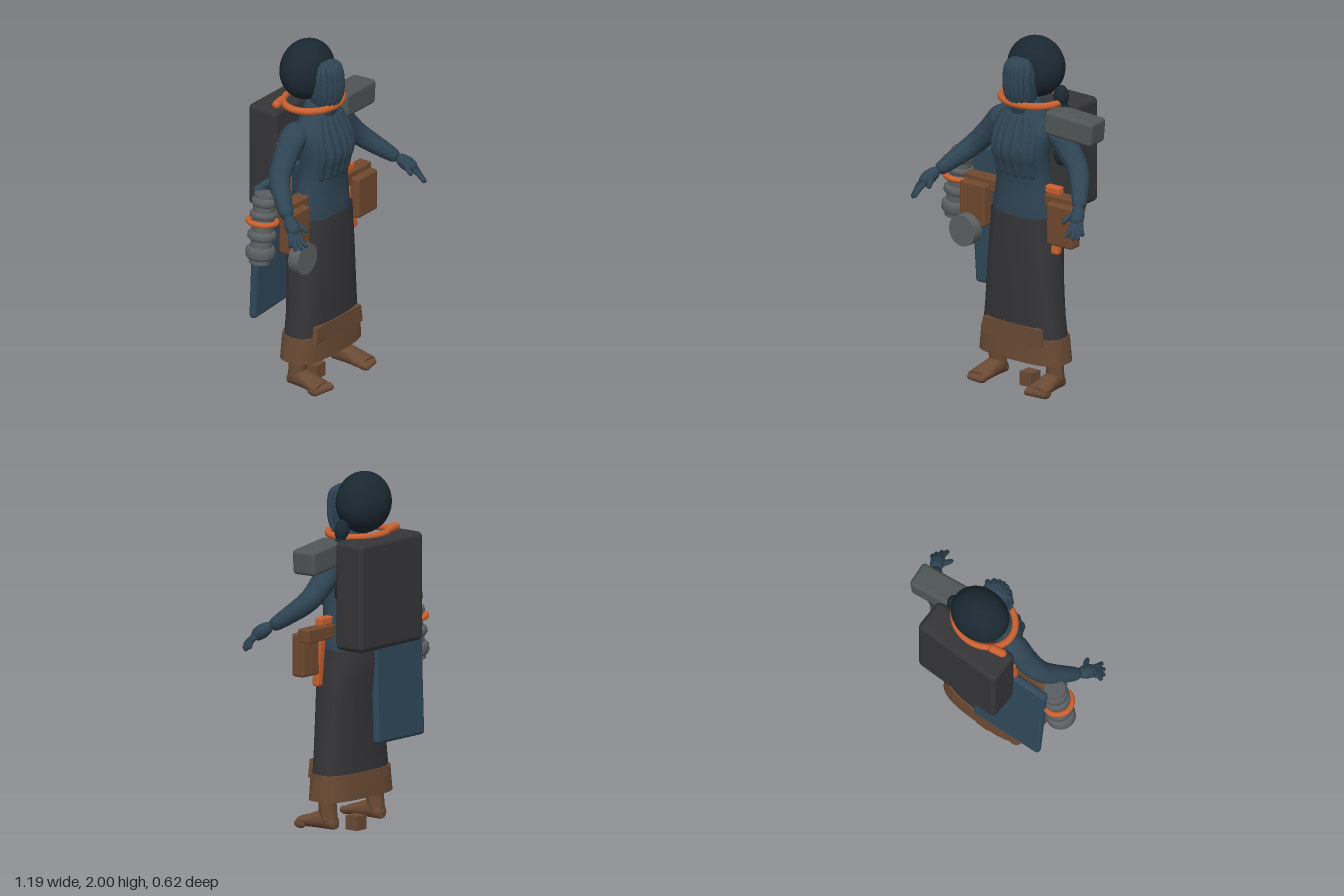
import * as THREE from 'three';
import { RoundedBoxGeometry } from 'three/addons/geometries/RoundedBoxGeometry.js';
import { toCreasedNormals } from 'three/addons/utils/BufferGeometryUtils.js';

const mat = (color) => new THREE.MeshStandardMaterial({ color, side: THREE.DoubleSide });
const M = {
  cloth: mat(0x2f4453), hair: mat(0x1b2831), dark: mat(0x353538), panel: mat(0x30495a),
  brown: mat(0x6a4a34), leather: mat(0x70492f), orange: mat(0xc9602f), grey: mat(0x505556), metal: mat(0x5c6062),
};
const V = (x, y, z) => new THREE.Vector3(x, y, z);

// Rings stacked along y; each section is [y, half width, front z, back z]
function loft(sections, power = 2, caps = true, n = 40) {
  const pos = [], idx = [];
  const bend = (v) => Math.sign(v) * Math.abs(v) ** (2 / power);
  for (const [y, rx, zf, zb] of sections) {
    for (let i = 0; i < n; i++) {
      const a = (i / n) * Math.PI * 2;
      pos.push(rx * bend(Math.cos(a)), y, (zf + zb) / 2 + ((zf - zb) / 2) * bend(Math.sin(a)));
    }
  }
  for (let s = 0; s < sections.length - 1; s++) {
    for (let i = 0; i < n; i++) {
      const a = s * n + i, a1 = s * n + (i + 1) % n;
      idx.push(a, a + n, a1, a + n, a1 + n, a1);
    }
  }
  if (caps) {
    const top = (sections.length - 1) * n;
    for (let i = 1; i < n - 1; i++) idx.push(0, i, i + 1, top, top + i + 1, top + i);
  }
  const g = new THREE.BufferGeometry();
  g.setAttribute('position', new THREE.Float32BufferAttribute(pos, 3));
  g.setIndex(idx);
  g.computeVertexNormals();
  return toCreasedNormals(g, 0.8);
}

// Tube along points with a varying radius and rounded ends
function limb(points, radii, seg = 28, sides = 14) {
  const curve = new THREE.CatmullRomCurve3(points);
  const g = new THREE.TubeGeometry(curve, seg, 1, sides);
  const p = g.attributes.position, nor = g.attributes.normal, len = curve.getLength();
  for (let i = 0; i <= seg; i++) {
    const u = i / seg, f = u * (radii.length - 1), k = Math.min(Math.floor(f), radii.length - 2);
    let r = THREE.MathUtils.lerp(radii[k], radii[k + 1], f - k);
    const d = Math.min(u, 1 - u) * len;
    if (d < r) r *= Math.sqrt(Math.max(0, 1 - (1 - d / r) ** 2));
    const c = curve.getPointAt(u);
    for (let j = 0; j <= sides; j++) {
      const q = i * (sides + 1) + j;
      p.setXYZ(q, c.x + nor.getX(q) * r, c.y + nor.getY(q) * r, c.z + nor.getZ(q) * r);
    }
  }
  g.computeVertexNormals();
  return g;
}

export function createModel() {
  const root = new THREE.Group();
  const add = (name, geo, m, pos = [0, 0, 0], rot = [0, 0, 0], parent = root) => {
    const mesh = new THREE.Mesh(geo, m);
    mesh.name = name;
    mesh.position.set(...pos);
    mesh.rotation.set(...rot);
    parent.add(mesh);
    return mesh;
  };
  const box = (name, size, r, m, pos, rot) => add(name, new RoundedBoxGeometry(...size, 3, r), m, pos, rot);

  // Torso
  const torso = [
    [0.95, 0.195, 0.11, -0.15], [1.03, 0.2, 0.115, -0.15], [1.1, 0.188, 0.112, -0.13], [1.2, 0.17, 0.108, -0.1],
    [1.28, 0.16, 0.118, -0.09], [1.34, 0.163, 0.138, -0.09], [1.39, 0.168, 0.15, -0.09], [1.45, 0.175, 0.138, -0.1],
    [1.52, 0.185, 0.108, -0.1], [1.57, 0.165, 0.082, -0.1], [1.61, 0.11, 0.065, -0.1], [1.67, 0.07, 0.05, -0.09],
  ];
  add('torso', loft(torso, 2.3), M.cloth);
  const frontZ = (x, y) => {
    let k = 0;
    while (k < torso.length - 2 && torso[k + 1][0] < y) k++;
    const t = (y - torso[k][0]) / (torso[k + 1][0] - torso[k][0]);
    const [rx, zf, zb] = [1, 2, 3].map((c) => THREE.MathUtils.lerp(torso[k][c], torso[k + 1][c], t));
    return (zf + zb) / 2 + ((zf - zb) / 2) * Math.max(0, 1 - Math.abs(x / rx) ** 2.3) ** (1 / 2.3);
  };
  // Hanging strips on the chest
  for (const side of [-1, 1]) {
    for (const x0 of [0.028, 0.075, 0.12]) {
      const pts = [1.24, 1.32, 1.39, 1.46, 1.53, 1.6].map((y, i) => {
        const x = side * x0 * [0.95, 1, 1.05, 1.05, 0.95, 0.65][i];
        return V(x, y, frontZ(x, y) - 0.014);
      });
      add('chestStrip', limb(pts, [0.018, 0.023, 0.023, 0.02], 24, 10), M.cloth);
    }
  }

  // Skirt and hem
  add('skirt', loft([
    [0.22, 0.272, 0.112, -0.128], [0.34, 0.262, 0.112, -0.122], [0.45, 0.247, 0.115, -0.122], [0.6, 0.234, 0.118, -0.128],
    [0.75, 0.224, 0.12, -0.138], [0.88, 0.215, 0.122, -0.155], [0.96, 0.205, 0.122, -0.158], [1.025, 0.203, 0.12, -0.15],
  ], 2.8, false), M.dark);
  add('hem', loft([
    [0.33, 0.255, 0.1, -0.11], [0.19, 0.268, 0.102, -0.118], [0.19, 0.285, 0.12, -0.136], [0.335, 0.27, 0.118, -0.13], [0.335, 0.25, 0.1, -0.11],
  ], 3, false), M.brown);
  const flap = new THREE.Shape([[-0.21, 0.3], [0.21, 0.3], [0.195, 0.4], [-0.195, 0.4]].map((p) => new THREE.Vector2(...p)));
  add('hemFrontPanel', new THREE.ExtrudeGeometry(flap, { depth: 0.03, bevelEnabled: false }), M.brown, [0, 0, 0.091]);

  // Head, hair fringe, round hair and braid
  add('head', loft([
    [1.6, 0.05, 0.08, -0.05], [1.68, 0.074, 0.105, -0.06], [1.76, 0.084, 0.113, -0.06],
    [1.84, 0.084, 0.11, -0.06], [1.885, 0.068, 0.095, -0.03], [1.91, 0.04, 0.075, 0],
  ], 2.2), M.cloth);
  for (const x of [-0.076, -0.05, -0.024, 0, 0.024, 0.05, 0.076]) {
    const z = 0.03 + 0.082 * Math.sqrt(1 - (x / 0.09) ** 2);
    add('fringeStrand', limb([V(x * 0.4, 1.905, 0.03), V(x * 0.9, 1.875, z - 0.015), V(x, 1.8, z), V(x, 1.72, z - 0.004), V(x * 0.85, 1.645, z - 0.025)],
      [0.016, 0.017, 0.017, 0.016, 0.011], 24, 10), M.cloth);
  }
  add('hairBall', new THREE.SphereGeometry(1, 40, 28), M.hair, [0, 1.83, -0.1]).scale.set(0.17, 0.17, 0.142);
  for (let i = 0; i < 5; i++) {
    add('braidLobe', new THREE.SphereGeometry(1, 18, 14), M.hair, [0.178 + 0.006 * (i % 2), 1.695 - i * 0.085, -0.095])
      .scale.set(0.043, 0.062, 0.04);
  }

  // Collar ring with its end piece
  add('collarRing', new THREE.TorusGeometry(0.178, 0.02, 14, 48), M.orange, [0, 1.66, -0.06], [Math.PI / 2, 0, 0]).scale.y = 0.86;
  add('collarEnd', new THREE.CapsuleGeometry(0.024, 0.06, 6, 14), M.orange, [-0.17, 1.67, -0.165], [0, 0.2, Math.PI / 2]);

  // Arms, hands, legs and feet, mirrored
  for (const side of [-1, 1]) {
    const P = (x, y, z) => V(side * x, y, z);
    const arm = new THREE.Group();
    arm.name = side > 0 ? 'leftArm' : 'rightArm';
    root.add(arm);
    const part = (name, pts, radii, seg, sides) => add(name, limb(pts, radii, seg, sides), M.cloth, [0, 0, 0], [0, 0, 0], arm);
    part('sleeve', [P(0.11, 1.54, -0.04), P(0.19, 1.505, -0.045), P(0.28, 1.41, -0.04), P(0.36, 1.325, -0.015), P(0.44, 1.24, 0.07), P(0.5, 1.175, 0.15)],
      [0.065, 0.077, 0.068, 0.062, 0.056, 0.047, 0.034], 36, 18);
    part('palm', [P(0.49, 1.19, 0.14), P(0.515, 1.155, 0.185), P(0.54, 1.115, 0.235)], [0.028, 0.04, 0.035]);
    const tips = [[0.532, 1.06, 0.305], [0.56, 1.045, 0.288], [0.58, 1.04, 0.26], [0.585, 1.055, 0.225]];
    tips.forEach(([x, y, z], i) => part('finger',
      [P(0.52 + 0.01 * i, 1.13, 0.225 - 0.008 * i), P(0.53 + 0.013 * i, 1.097, 0.265 - 0.014 * i), P(x, y, z)], [0.017, 0.015, 0.012], 12, 10));
    part('thumb', [P(0.505, 1.15, 0.19), P(0.48, 1.14, 0.225), P(0.466, 1.115, 0.262)], [0.019, 0.016, 0.012], 12, 10);

    add('leg', limb([P(0.2, 0.04, -0.025), P(0.2, 0.15, -0.012), P(0.2, 0.34, -0.01)], [0.05, 0.05, 0.06]), M.brown);
    const foot = loft([
      [-0.072, 0.02, -0.035, -0.075], [-0.06, 0.04, -0.03, -0.1], [0, 0.05, -0.03, -0.135], [0.06, 0.056, -0.03, -0.12],
      [0.11, 0.064, -0.03, -0.1], [0.16, 0.066, -0.03, -0.085],
    ], 2.3, true, 28);
    foot.rotateX(Math.PI / 2);
    add('foot', foot, M.brown, [side * 0.2, 0, 0], [0, side * 0.04, 0]);
    [0, 1, 2, 3, 4].forEach((i) => add('toe', new THREE.SphereGeometry(1, 12, 10), M.brown,
      [side * (0.163 + i * 0.024), 0.055 - i * 0.002, 0.165 - i * 0.007]).scale.set(0.021 - i * 0.0015, 0.024, 0.04));
  }

  // Backpack, side board and shoulder box
  box('backpack', [0.53, 0.605, 0.195], 0.03, M.dark, [0.005, 1.352, -0.216]);
  box('backRoll', [0.11, 0.36, 0.05], 0.024, M.orange, [-0.205, 1.3, -0.105]);
  box('sideBoard', [0.43, 0.81, 0.045], 0.02, M.panel, [-0.24, 0.885, -0.135], [0.05, 0.06, 0.02]);
  box('shoulderBox', [0.31, 0.14, 0.15], 0.022, M.grey, [0.313, 1.565, -0.045], [0, 0.1, -0.08]);

  // Belt, pouches and orange strap
  box('belt', [0.79, 0.075, 0.08], 0.008, M.leather, [0, 1.128, 0]);
  for (const side of [-1, 1]) box('pouch', [0.175, 0.24, 0.085], 0.014, M.leather, [side * 0.304, 1.015, 0.044]);
  box('strapTop', [0.11, 0.045, 0.05], 0.01, M.orange, [0.205, 1.187, 0.005]);
  box('strap', [0.05, 0.37, 0.045], 0.014, M.orange, [0.237, 1.01, 0.015], [-0.07, 0, 0.02]);

  // Round canister on the right pouch
  add('canister', new THREE.CylinderGeometry(0.089, 0.089, 0.065, 36), M.metal, [-0.324, 0.87, 0.115], [Math.PI / 2, 0, 0]);

  // Ribbed lantern by the right hip
  const lantern = new THREE.Group();
  lantern.name = 'lantern';
  lantern.position.set(-0.488, 1.07, -0.035);
  lantern.rotation.z = -0.13;
  root.add(lantern);
  add('lanternBody', new THREE.CylinderGeometry(0.06, 0.06, 0.4, 28), M.metal, [0, 0, 0], [0, 0, 0], lantern);
  for (const [y, r, h] of [[-0.14, 0.082, 0.07], [-0.04, 0.08, 0.05], [0.08, 0.076, 0.04], [0.155, 0.072, 0.05]]) {
    add('lanternRib', new RoundedBoxGeometry(1, 1, 1, 1, 0.1), M.metal, [0, y, 0], [0, 0, 0], lantern).geometry =
      new THREE.LatheGeometry([[0.05, -h / 2], [r - 0.012, -h / 2], [r, -h / 4], [r, h / 4], [r - 0.012, h / 2], [0.05, h / 2]].map((p) => new THREE.Vector2(...p)), 28);
  }
  add('lanternRing', new THREE.TorusGeometry(0.078, 0.016, 12, 32), M.orange, [-0.005, 0.04, 0], [Math.PI / 2, 0, 0], lantern);

  // Small block on the ground between the feet
  add('groundBlock', new THREE.BoxGeometry(0.08, 0.08, 0.08), M.brown, [0, 0.04, -0.045]);
  return root;
}
